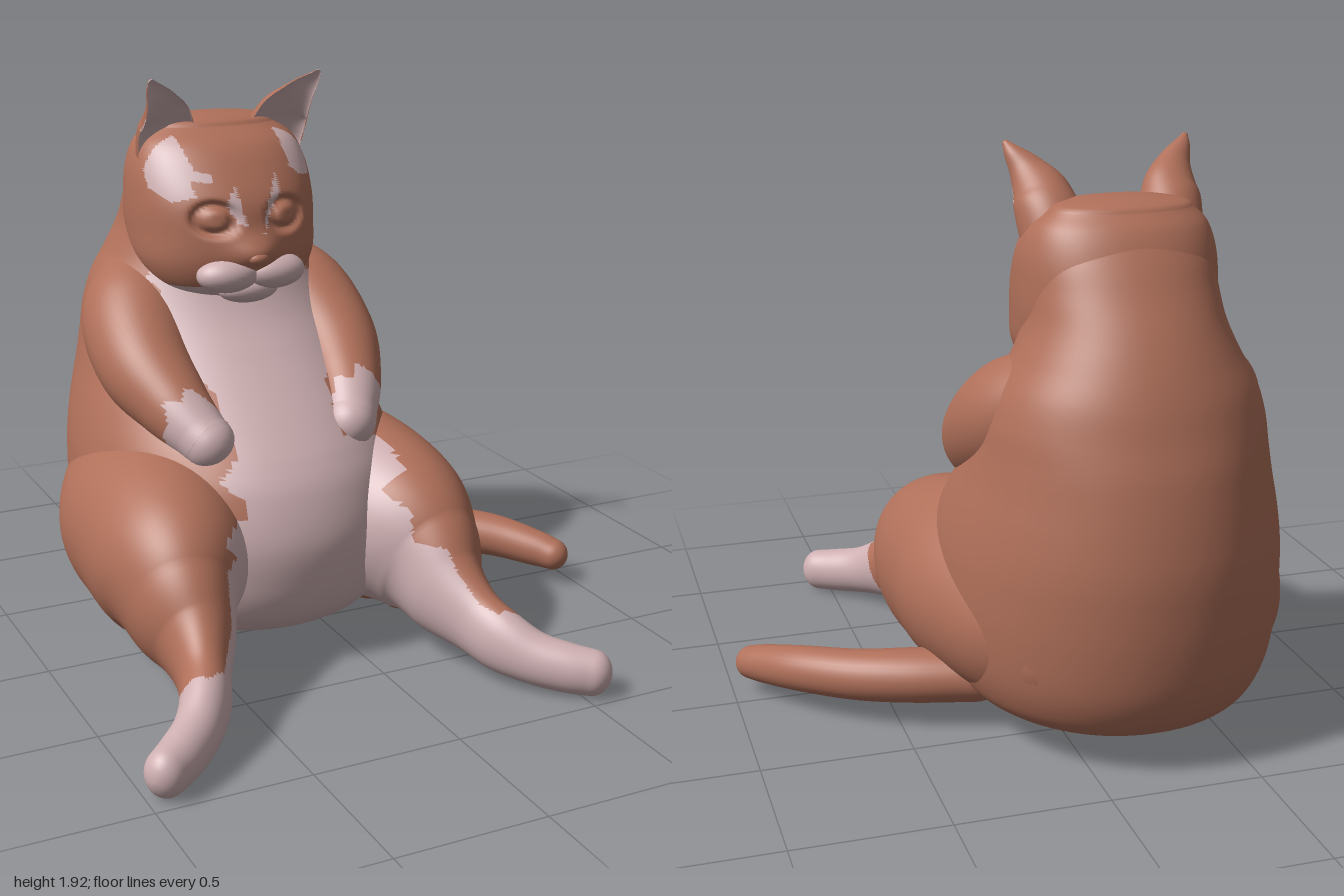
import * as THREE from 'three';

const ginger = new THREE.MeshStandardMaterial({ color: 0xb0705a });
ginger.name = 'ginger fur';
const pale = new THREE.MeshStandardMaterial({ color: 0xcfb0b2 });
pale.name = 'pale fur';

const BACK = new THREE.Vector3(0, 0, -1);
const UP = new THREE.Vector3(0, 1, 0);

// Smooth skin through sections [x, y, z, halfWidth, halfHeight], closed with domed ends.
// ref is the ring's second axis, axis fixes the direction of travel, hollow cups one side.
function loft(sections, { ref = UP, axis = null, rows = 60, segs = 48, n = 2, caps = [1, 1], hollow = 0 }) {
  const path = new THREE.CatmullRomCurve3(sections.map(s => new THREE.Vector3(s[0], s[1], s[2])), false, 'catmullrom');
  const size = new THREE.CatmullRomCurve3(sections.map(s => new THREE.Vector3(s[3], s[4], 0)), false, 'catmullrom');
  const pos = [], index = [], domeRows = 8;
  const ring = (t, dome) => {
    const c = path.getPoint(t), r = size.getPoint(t);
    const T = axis || path.getTangent(t);
    const S = new THREE.Vector3().crossVectors(ref, T).normalize();
    const U = new THREE.Vector3().crossVectors(T, S);
    const depth = Math.min(r.x, r.y) * caps[t < 0.5 ? 0 : 1];
    c.addScaledVector(T, Math.sin(dome) * depth);
    const k = Math.cos(dome);
    for (let j = 0; j < segs; j++) {
      const a = (j / segs) * Math.PI * 2;
      const bend = v => Math.sign(v) * Math.abs(v) ** (2 / n);
      let v = bend(Math.sin(a));
      if (hollow && v < 0) v *= -hollow;
      const p = c.clone().addScaledVector(S, bend(Math.cos(a)) * r.x * k).addScaledVector(U, v * r.y * k);
      pos.push(p.x, p.y, p.z);
    }
  };
  for (let i = domeRows; i > 0; i--) ring(0, -(i / domeRows) * Math.PI / 2);
  for (let i = 0; i <= rows; i++) ring(i / rows, 0);
  for (let i = 1; i <= domeRows; i++) ring(1, (i / domeRows) * Math.PI / 2);
  for (let i = 0; i < rows + 2 * domeRows; i++) {
    for (let j = 0; j < segs; j++) {
      const a = i * segs + j, b = i * segs + (j + 1) % segs;
      index.push(a, b, a + segs, b, b + segs, a + segs);
    }
  }
  const geo = new THREE.BufferGeometry();
  geo.setAttribute('position', new THREE.Float32BufferAttribute(pos, 3));
  geo.setIndex(index);
  geo.computeVertexNormals();
  return geo;
}

// Sort faces into two material groups: those where isPale(centre, normal) holds come last.
function paint(geo, isPale) {
  const tri = new THREE.Triangle(), c = new THREE.Vector3(), nrm = new THREE.Vector3();
  const sets = [[], []], id = geo.index.array;
  for (let i = 0; i < id.length; i += 3) {
    tri.setFromAttributeAndIndices(geo.attributes.position, id[i], id[i + 1], id[i + 2]);
    tri.getMidpoint(c);
    tri.getNormal(nrm);
    sets[isPale(c, nrm) ? 1 : 0].push(id[i], id[i + 1], id[i + 2]);
  }
  geo.setIndex([...sets[0], ...sets[1]]);
  geo.addGroup(0, sets[0].length, 0);
  geo.addGroup(sets[0].length, sets[1].length, 1);
  return geo;
}

function inside(poly, x, y) {
  let hit = false;
  poly.forEach(([x1, y1], i) => {
    const [x2, y2] = poly[(i + 1) % poly.length];
    if ((y1 > y) !== (y2 > y) && x < (x2 - x1) * (y - y1) / (y2 - y1) + x1) hit = !hit;
  });
  return hit;
}

// Ragged bib edge as [height, half-width] on each side
const bibRight = [[0, .62], [.2, .53], [.26, .42], [.3, .37], [.44, .34], [.47, .28], [.52, .33], [.56, .2], [.6, .2],
  [.66, .27], [.73, .2], [.9, .2], [.98, .27], [1.03, .25], [1.15, .34], [1.2, .27], [1.25, .33], [1.3, .3]];
const bibLeft = [[0, .65], [.2, .6], [.27, .46], [.35, .43], [.42, .42], [.43, .33], [.52, .34], [.58, .28], [.64, .37],
  [.7, .37], [.75, .2], [.9, .2], [.96, .28], [1, .24], [1.07, .32], [1.12, .28], [1.2, .34], [1.22, .27], [1.3, .3]];
function inBib(c) {
  const edge = c.x < 0 ? bibRight : bibLeft;
  const i = edge.findIndex(e => e[0] > c.y);
  if (i < 1) return false;
  const [y0, w0] = edge[i - 1], [y1, w1] = edge[i];
  return Math.abs(c.x) < w0 + (w1 - w0) * (c.y - y0) / (y1 - y0);
}

// Face markings seen from the front
const markings = [
  [[-.3, 1.76], [-.3, 1.55], [-.25, 1.51], [-.18, 1.53], [-.19, 1.58], [-.12, 1.57], [-.12, 1.6], [-.17, 1.61], [-.2, 1.75]],
  [[.17, 1.73], [.18, 1.6], [.22, 1.57], [.28, 1.56], [.3, 1.75]],
  [[-.08, 1.52], [-.045, 1.565], [-.045, 1.52], [-.025, 1.43], [-.055, 1.44], [-.08, 1.49]],
  [[.11, 1.595], [.115, 1.53], [.07, 1.46], [.03, 1.395], [.055, 1.49]],
];

// Upright sections from [y, back z, front z, half-width]
const upright = rows => rows.map(([y, zb, zf, w]) => [0, y, (zb + zf) / 2, w, (zf - zb) / 2]);

function headGeometry() {
  const geo = loft(upright([
    [1.17, -.5, -.16, .2], [1.22, -.56, -.11, .27], [1.3, -.64, -.08, .315], [1.4, -.7, -.075, .325],
    [1.5, -.7, -.09, .325], [1.6, -.67, -.15, .315], [1.68, -.63, -.22, .285], [1.735, -.58, -.31, .23],
  ]), { ref: BACK, axis: UP, rows: 110, segs: 128, n: 2.2, caps: [.2, .25] });
  // nose bridge bulge and eye socket grooves
  const p = geo.attributes.position;
  for (let i = 0; i < p.count; i++) {
    const x = p.getX(i), y = p.getY(i), z = p.getZ(i);
    if (z < -.35) continue;
    let dz = .05 * Math.exp(-((x / .09) ** 2) - ((y - 1.335) / .06) ** 2);
    const d = Math.hypot((Math.abs(x) - .128) / .06, (y - 1.455) / .047);
    dz -= .026 * Math.exp(-(((d - 1) / .28) ** 2));
    p.setZ(i, z + dz);
  }
  geo.computeVertexNormals();
  return paint(geo, (c, n) => (n.z > 0 && c.z > -.32 && markings.some(m => inside(m, c.x, c.y)))
    || (c.y < 1.22 && c.z > -.27));
}

export function createModel() {
  const model = new THREE.Group();
  const cat = new THREE.Group();
  cat.name = 'cat';
  cat.position.x = -.2; // the tail reaches out to one side
  model.add(cat);
  const add = (name, geo, mat = [ginger, pale]) => {
    const mesh = new THREE.Mesh(geo, mat);
    mesh.name = name;
    cat.add(mesh);
    return mesh;
  };
  const ellipsoid = (name, mat, [x, y, z], [rx, ry, rz]) => {
    add(name, new THREE.SphereGeometry(1, 32, 20).scale(rx, ry, rz), mat).position.set(x, y, z);
  };

  // Torso with the pale bib
  add('torso', paint(loft(upright([
    [.1, -.8, .22, .42], [.14, -.87, .28, .48], [.2, -.92, .33, .52], [.3, -.96, .365, .55], [.45, -.985, .38, .565],
    [.6, -.995, .34, .56], [.7, -.995, .28, .545], [.8, -.985, .19, .52], [.9, -.97, .09, .49], [1, -.95, -.01, .465],
    [1.1, -.92, -.1, .445], [1.2, -.89, -.16, .41], [1.3, -.85, -.19, .355], [1.4, -.8, -.2, .315],
    [1.5, -.74, -.21, .3], [1.6, -.68, -.23, .285], [1.68, -.62, -.28, .24], [1.73, -.56, -.34, .16],
  ]), { ref: BACK, axis: UP, rows: 150, segs: 140, n: 2.08, caps: [.04, .2] }),
  (c, n) => c.z > -.3 && n.z > 0 && c.y > .09 && inBib(c)));

  // Head, muzzle and chin
  add('head', headGeometry());
  ellipsoid('chin', pale, [0, 1.205, -.14], [.11, .05, .065]);
  for (const s of [-1, 1]) ellipsoid('muzzle', pale, [s * .085, 1.265, -.112], [.11, .062, .078]);
  ellipsoid('nose', ginger, [0, 1.325, -.05], [.04, .025, .032]);

  for (const s of [-1, 1]) {
    const side = s > 0 ? 'left' : 'right';
    const mirror = rows => rows.map(([x, ...rest]) => [x * s, ...rest]);

    // Cupped ears leaning forward
    add(side + 'Ear', paint(loft(mirror([
      [.18, 1.62, -.38, .12, .12], [.205, 1.71, -.34, .105, .1], [.22, 1.77, -.305, .09, .075],
      [.25, 1.83, -.265, .058, .045], [.285, 1.88, -.235, .03, .025], [.302, 1.908, -.216, .012, .01],
    ]), { ref: BACK, rows: 36, segs: 40, hollow: .35 }), (c, n) => n.z > .15));

    // Arms resting on the belly, with pale paws
    add(side + 'Arm', paint(loft(mirror([
      [.24, 1.2, -.54, .14, .14], [.315, 1.08, -.4, .185, .185], [.35, .96, -.21, .165, .165],
      [.32, .86, -.03, .125, .125], [.275, .785, .09, .095, .095], [.26, .765, .12, .09, .09],
    ]), { rows: 60, segs: 48 }), c => c.z > .075 + .015 * Math.sin(c.x * 60 + c.y * 45)));

    // Thigh, shin and foot in one sweep
    add(side + 'Leg', paint(loft(mirror([
      [.24, .38, -.65, .21, .22], [.28, .4, -.48, .285, .29], [.34, .41, -.2, .325, .325], [.38, .405, 0, .3, .325],
      [.42, .375, .2, .26, .295], [.45, .305, .35, .185, .235], [.455, .24, .47, .13, .175], [.485, .185, .6, .088, .125],
      [.525, .145, .71, .08, .11], [.59, .11, .8, .075, .09], [.67, .09, .875, .073, .083], [.735, .08, .925, .066, .078],
    ]), { rows: 110, segs: 72 }), (c, n) => c.z > .53 + c.y * .8 + .012 * Math.sin(c.x * 70)
      || (c.z > .05 && n.z > -.1 && c.y > .085 && n.y > -.8 && inBib(c))));
  }

  // Tail curling forward on the left
  add('tail', loft([
    [.45, .17, -.36, .1, .09], [.65, .167, -.3, .1, .09], [.82, .158, -.225, .087, .085],
    [.98, .145, -.1, .077, .078], [1.09, .12, .03, .064, .067], [1.13, .108, .085, .058, .058],
  ], { rows: 40, segs: 32 }), ginger);

  return model;
}
